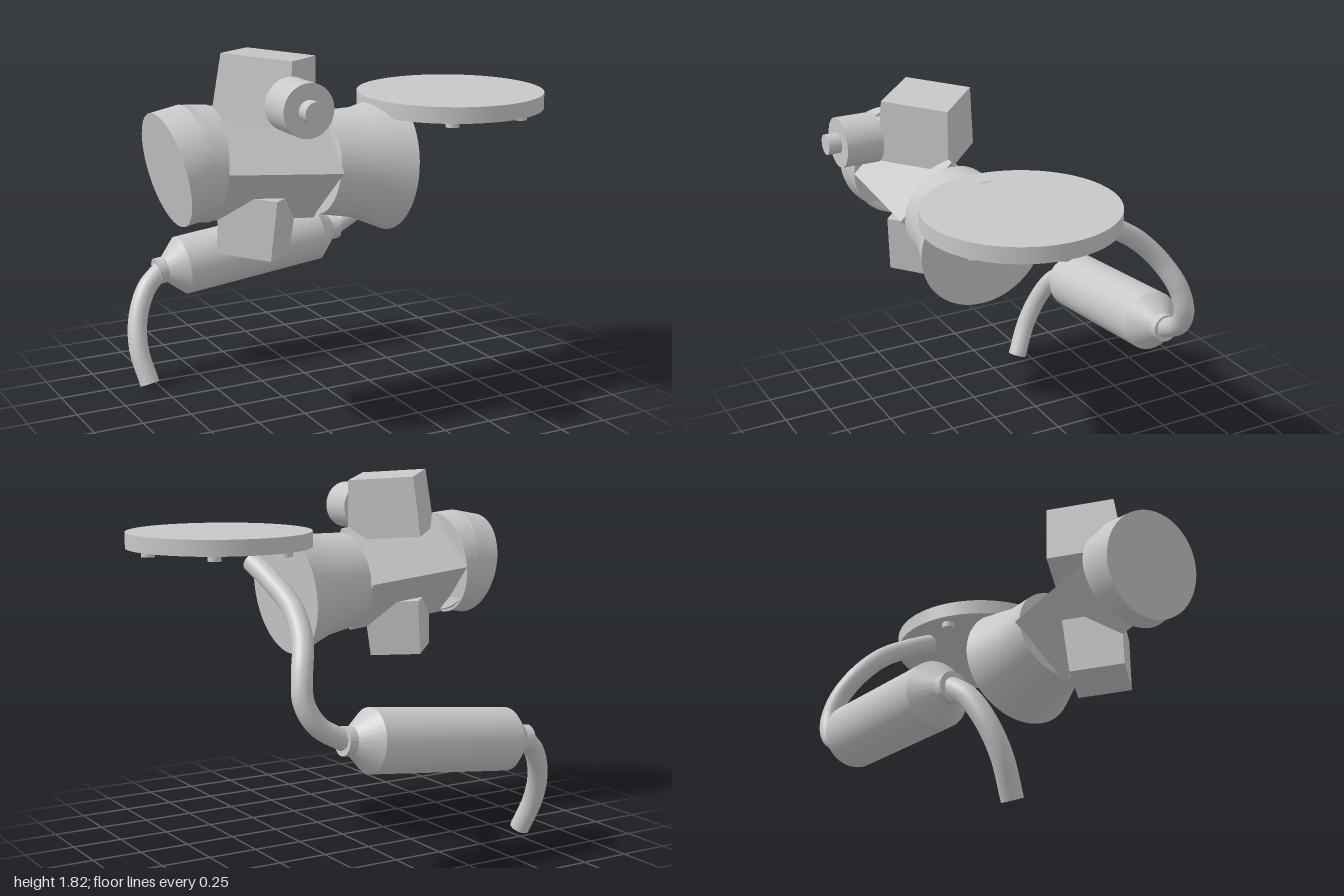
import * as THREE from 'three';
import { toCreasedNormals } from 'three/addons/utils/BufferGeometryUtils.js';

const Z = 0.27; // depth of the main body axis

export function createModel() {
  const model = new THREE.Group();
  const grey = new THREE.MeshStandardMaterial({ color: 0xc8c8c8 });

  function add(parent, name, geometry) {
    const mesh = new THREE.Mesh(geometry, grey);
    mesh.name = name;
    parent.add(mesh);
    return mesh;
  }
  function group(name, x, y, z, tilt) {
    const g = new THREE.Group();
    g.name = name;
    g.position.set(x, y, z);
    g.rotation.z = tilt;
    model.add(g);
    return g;
  }
  // solid of revolution along x, from [position, radius] pairs
  function turned(profile) {
    const pts = profile.map(([s, r]) => new THREE.Vector2(r, s));
    pts.unshift(new THREE.Vector2(0, profile[0][0]));
    pts.push(new THREE.Vector2(0, profile[profile.length - 1][0]));
    return toCreasedNormals(new THREE.LatheGeometry(pts, 64), 0.3).rotateZ(-Math.PI / 2);
  }
  // four-sided prism along y with its corners on the x and z axes
  function diamond(rTop, rBottom, y0, y1) {
    const g = new THREE.CylinderGeometry(rTop, rBottom, y1 - y0, 4).translate(0, (y0 + y1) / 2, 0).toNonIndexed();
    g.computeVertexNormals();
    return g;
  }
  // round bent pipe with closed ends
  function pipe(name, points, radius) {
    const curve = new THREE.CatmullRomCurve3(points.map((p) => new THREE.Vector3(...p)));
    const g = group(name, 0, 0, 0, 0);
    add(g, name + 'Wall', new THREE.TubeGeometry(curve, 64, radius, 24));
    for (const t of [0, 1]) {
      const cap = add(g, name + 'End', new THREE.CircleGeometry(radius, 24));
      cap.position.copy(curve.getPointAt(t));
      const out = curve.getTangentAt(t).multiplyScalar(t ? 1 : -1);
      cap.quaternion.setFromUnitVectors(new THREE.Vector3(0, 0, 1), out);
    }
  }

  // Valve body: crossing diamond prisms, round inlet and flared outlet
  const body = group('valveBody', -0.485, 1.302, Z, -0.095);
  add(body, 'centralBody', diamond(0.267, 0.267, -0.29, 0.3).rotateZ(-Math.PI / 2));
  add(body, 'upperBlock', diamond(0.24, 0.267, 0.2, 0.505));
  add(body, 'lowerBlock', diamond(0.205, 0.187, -0.424, -0.14));
  add(body, 'inletFlange', turned([[-0.377, 0.267], [-0.277, 0.267]]));
  add(body, 'flaredOutlet', turned([[0.295, 0.243], [0.48, 0.263], [0.663, 0.325]]));

  // Inlet ring, angled against the flange
  const inlet = group('angledInlet', -0.95, 1.317, Z, 0.19);
  add(inlet, 'inletRing', turned([[0, 0.267], [0.138, 0.267]]));

  // Front knob
  const knob = group('knob', -0.465, 1.622, 0, 0);
  for (const [name, r, z0, z1] of [['knobDrum', 0.123, 0.543, 0.73], ['knobStub', 0.05, 0.72, 0.795]]) {
    add(knob, name, new THREE.CylinderGeometry(r, r, z1 - z0, 48).rotateX(Math.PI / 2).translate(0, 0, (z0 + z1) / 2));
  }

  // Round plate with bolts underneath
  const plate = group('plate', 0.54, 0, 0.268, 0);
  add(plate, 'plateDisc', new THREE.CylinderGeometry(0.457, 0.457, 0.078, 96).translate(0, 1.521, 0));
  for (let i = 0; i < 6; i++) {
    const a = (i * Math.PI) / 3;
    add(plate, 'bolt', new THREE.CylinderGeometry(0.033, 0.033, 0.04, 24)
      .translate(0.38 * Math.cos(a), 1.473, 0.38 * Math.sin(a)));
  }

  // Silencer with tapered ends and collars
  const silencer = group('silencer', -0.139, 0.6145, -0.643, 0.109);
  add(silencer, 'silencerBody', turned([[-0.485, 0.066], [-0.391, 0.154], [0.391, 0.154], [0.49, 0.066]]));
  add(silencer, 'leftCollar', turned([[0.483, 0.069], [0.532, 0.069]]));
  add(silencer, 'rightCollar', turned([[-0.53, 0.069], [-0.48, 0.069]]));

  // Bent pipes on either side of the silencer
  pipe('upperPipe', [
    [0.535, 1.44, -0.065], [0.51, 1.36, -0.21], [0.493, 1.25, -0.38], [0.515, 1.12, -0.505],
    [0.562, 0.99, -0.58], [0.575, 0.865, -0.615], [0.515, 0.755, -0.635], [0.38, 0.672, -0.643],
  ], 0.05);
  pipe('tailPipe', [
    [-0.64, 0.562, -0.643], [-0.735, 0.485, -0.61], [-0.805, 0.35, -0.56],
    [-0.828, 0.2, -0.5], [-0.8, 0.03, -0.43],
  ], 0.05);

  return model;
}
